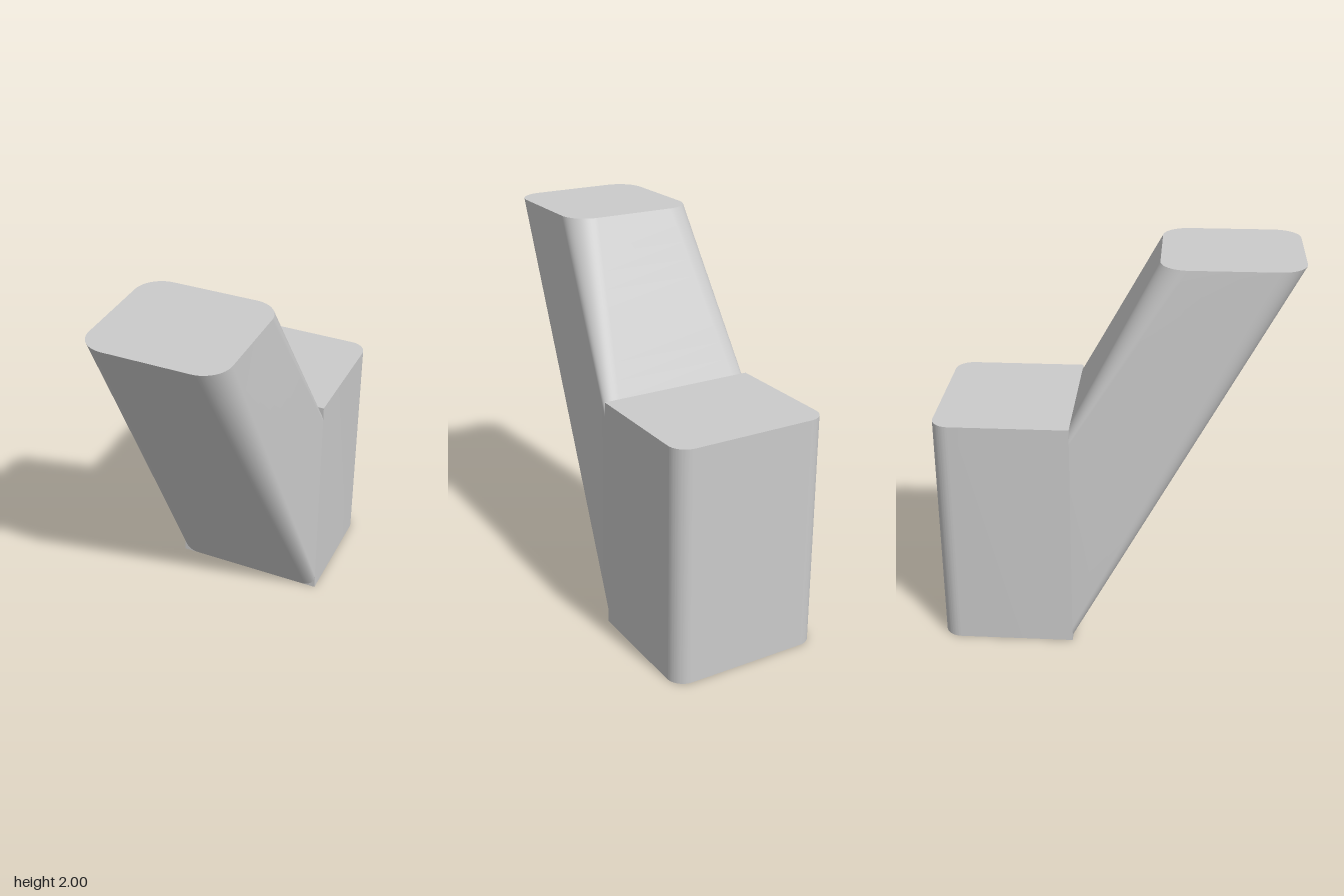
import * as THREE from 'three';
import { toCreasedNormals } from 'three/addons/utils/BufferGeometryUtils.js';

const HALF_W = 0.405, BODY_H = 1.215, BACK = -0.885, JOIN = -0.21;

// Counter-clockwise rounded rectangle: x in +-hw, v from 0 to h
function ring(hw, h, r, steps = 12) {
  const pts = [];
  const centres = [[hw - r, h - r], [r - hw, h - r], [r - hw, r], [hw - r, r]];
  centres.forEach(([cx, cv], q) => {
    for (let i = 0; i <= steps; i++) {
      const a = (q + i / steps) * Math.PI / 2;
      pts.push([cx + r * Math.cos(a), cv + r * Math.sin(a)]);
    }
  });
  return pts;
}

// Upright block with two rounded back corners
function bodyGeometry() {
  const r = 0.09, s = new THREE.Shape();
  s.moveTo(-HALF_W, -JOIN);
  s.lineTo(HALF_W, -JOIN);
  s.lineTo(HALF_W, -BACK - r);
  s.absarc(HALF_W - r, -BACK - r, r, 0, Math.PI / 2);
  s.absarc(r - HALF_W, -BACK - r, r, Math.PI / 2, Math.PI);
  s.closePath();
  const g = new THREE.ExtrudeGeometry(s, { depth: BODY_H, bevelEnabled: false, curveSegments: 12 });
  g.rotateX(-Math.PI / 2);
  return toCreasedNormals(g, 0.6);
}

// Leaning arm: lofted from the block's front face to a level top
function armGeometry() {
  const start = ring(HALF_W, BODY_H, 0.08).map(([x, v]) => new THREE.Vector3(x, v, JOIN));
  const end = ring(0.338, 0.675, 0.13).map(([x, v]) => new THREE.Vector3(x, 2, 0.885 - v));
  const n = start.length, rows = 10, pos = [], idx = [];
  for (let j = 0; j <= rows; j++)
    for (let i = 0; i < n; i++) pos.push(...start[i].clone().lerp(end[i], j / rows).toArray());
  for (let j = 0; j < rows; j++)
    for (let i = 0; i < n; i++) {
      const a = j * n + i, b = j * n + (i + 1) % n;
      idx.push(a, b, b + n, a, b + n, a + n);
    }
  // Flat top cap with its own vertices
  const cap = pos.length / 3;
  end.forEach(p => pos.push(p.x, p.y, p.z));
  for (let i = 1; i < n - 1; i++) idx.push(cap, cap + i, cap + i + 1);
  const g = new THREE.BufferGeometry();
  g.setAttribute('position', new THREE.Float32BufferAttribute(pos, 3));
  g.setIndex(idx);
  g.computeVertexNormals();
  return g;
}

export function createModel() {
  const group = new THREE.Group();
  const material = new THREE.MeshStandardMaterial({ color: 0xcccccc });
  const add = (name, geometry) => {
    const mesh = new THREE.Mesh(geometry, material);
    mesh.name = name;
    group.add(mesh);
  };
  add('body', bodyGeometry());
  add('leaningArm', armGeometry());
  return group;
}
